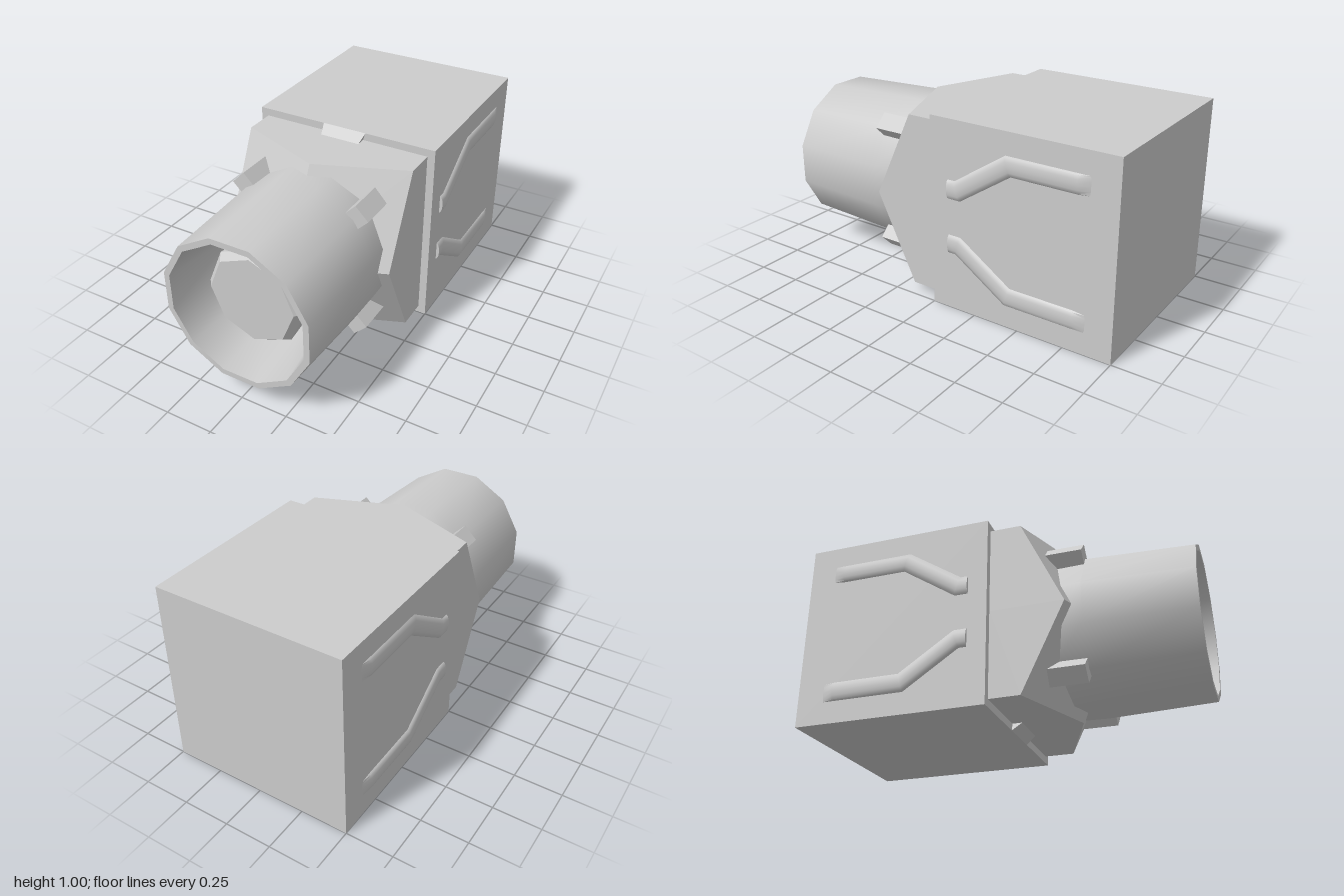
import * as THREE from 'three';
import { toCreasedNormals } from 'three/addons/utils/BufferGeometryUtils.js';

const CY = 0.5; // height of the lens axis

// Flat-shaded geometry from a list of corner triples
function facets(tris) {
  const g = new THREE.BufferGeometry();
  g.setAttribute('position', new THREE.Float32BufferAttribute(tris.flat(2), 3));
  g.computeVertexNormals();
  return g;
}

// Turned part along z; profile is [radius, z]
function turned(profile, sides, phase) {
  const pts = profile.map(([r, z]) => new THREE.Vector2(r, z));
  const g = new THREE.LatheGeometry(pts, sides, phase).rotateX(Math.PI / 2).translate(0, CY, 0);
  return toCreasedNormals(g, 0.62);
}

// Square collar whose front is a shallow four-quadrant pyramid
function collarGeometry() {
  const w = 0.46, tris = [];
  const ring = [
    [w, 0, 0.38], [w, w, 0.16], [0, w, 0.34], [-w, w, 0.16],
    [-w, 0, 0.38], [-w, -w, 0.16], [0, -w, 0.34], [w, -w, 0.16],
  ].map(([x, y, z]) => [x, y + CY, z]);
  ring.forEach((a, i) => {
    const b = ring[(i + 1) % 8];
    const a0 = [a[0], a[1], 0], b0 = [b[0], b[1], 0];
    tris.push([a0, b0, b], [a0, b, a], [a, b, [0, CY, 0.56]]);
  });
  return facets(tris);
}

// Wedge tab joining the body edge to the collar; s = 1 top, -1 bottom
function tabGeometry(s) {
  const p = (x, y, z) => [x, CY + s * y, z];
  const a = p(-0.12, 0.5, 0), b = p(0.12, 0.5, 0);
  const c = p(0.105, 0.455, 0.057), d = p(-0.105, 0.455, 0.057);
  const e = p(-0.105, 0.455, 0), f = p(0.105, 0.455, 0);
  const tris = [[a, d, c], [a, c, b], [a, e, d], [b, c, f]];
  return facets(s > 0 ? tris : tris.map(([u, v, w]) => [u, w, v]));
}

// Half-round bent rib on a side wall; sx, sy pick the side and the half
function ribGeometry(sx, sy) {
  const path = [ // z, y, lean of the section, height off the wall
    [-0.1, 0.145, 0, 0.018], [-0.155, 0.145, 0.015, 0.018], [-0.44, 0.335, 0.015, 0.018],
    [-0.8, 0.335, 0, 0.018], [-0.86, 0.335, 0, 0.001],
  ];
  const n = 6, pos = [], idx = [];
  path.forEach(([z, y, lean, h]) => {
    for (let j = 0; j <= n; j++) {
      const a = (j / n) * Math.PI, c = Math.cos(a);
      pos.push(sx * (0.499 + h * Math.sin(a)), CY + sy * (y + 0.05 * c), z + lean * c);
    }
  });
  const tri = (a, b, c) => (sx * sy > 0 ? idx.push(a, b, c) : idx.push(a, c, b));
  for (let i = 0; i < path.length - 1; i++) {
    for (let j = 0; j < n; j++) {
      const a = i * (n + 1) + j, b = a + n + 1;
      tri(a, b, a + 1);
      tri(b, b + 1, a + 1);
    }
  }
  for (let j = 1; j < n; j++) tri(0, j, j + 1); // blunt front end
  const g = new THREE.BufferGeometry();
  g.setAttribute('position', new THREE.Float32BufferAttribute(pos, 3));
  g.setIndex(idx);
  return toCreasedNormals(g, 0.75);
}

export function createModel() {
  const model = new THREE.Group();
  model.name = 'boxCamera';
  const grey = new THREE.MeshStandardMaterial({ color: 0xcccccc, side: THREE.DoubleSide });
  grey.name = 'lightGrey';
  const add = (name, geometry) => {
    const mesh = new THREE.Mesh(geometry, grey);
    mesh.name = name;
    model.add(mesh);
    return mesh;
  };

  // Body and collar
  add('body', new THREE.BoxGeometry(1, 1, 1).translate(0, CY, -0.5));
  add('collar', collarGeometry());
  add('topTab', tabGeometry(1));
  add('bottomTab', tabGeometry(-1));

  // Hollow barrel with an inner cone behind the lens
  add('barrel', turned([
    [0.42, 0.25], [0.424, 0.45], [0.404, 1], [0.373, 1], [0.322, 0.6], [0.2, 0.72],
  ], 12, Math.PI / 12));
  add('lens', turned([[0.24, 0.6], [0.262, 0.83], [0.23, 0.87], [0, 0.87]], 8, 0));

  // Four diagonal lugs around the barrel root
  for (let i = 0; i < 4; i++) {
    const lug = add('lug', new THREE.BoxGeometry(0.15, 0.095, 0.22).translate(0.413, 0, 0.34));
    lug.position.y = CY;
    lug.rotation.z = Math.PI / 4 + (i * Math.PI) / 2;
  }

  // Bent ribs, two per side wall
  for (const sx of [1, -1]) {
    for (const sy of [1, -1]) add(sx > 0 ? 'leftRib' : 'rightRib', ribGeometry(sx, sy));
  }
  return model;
}
